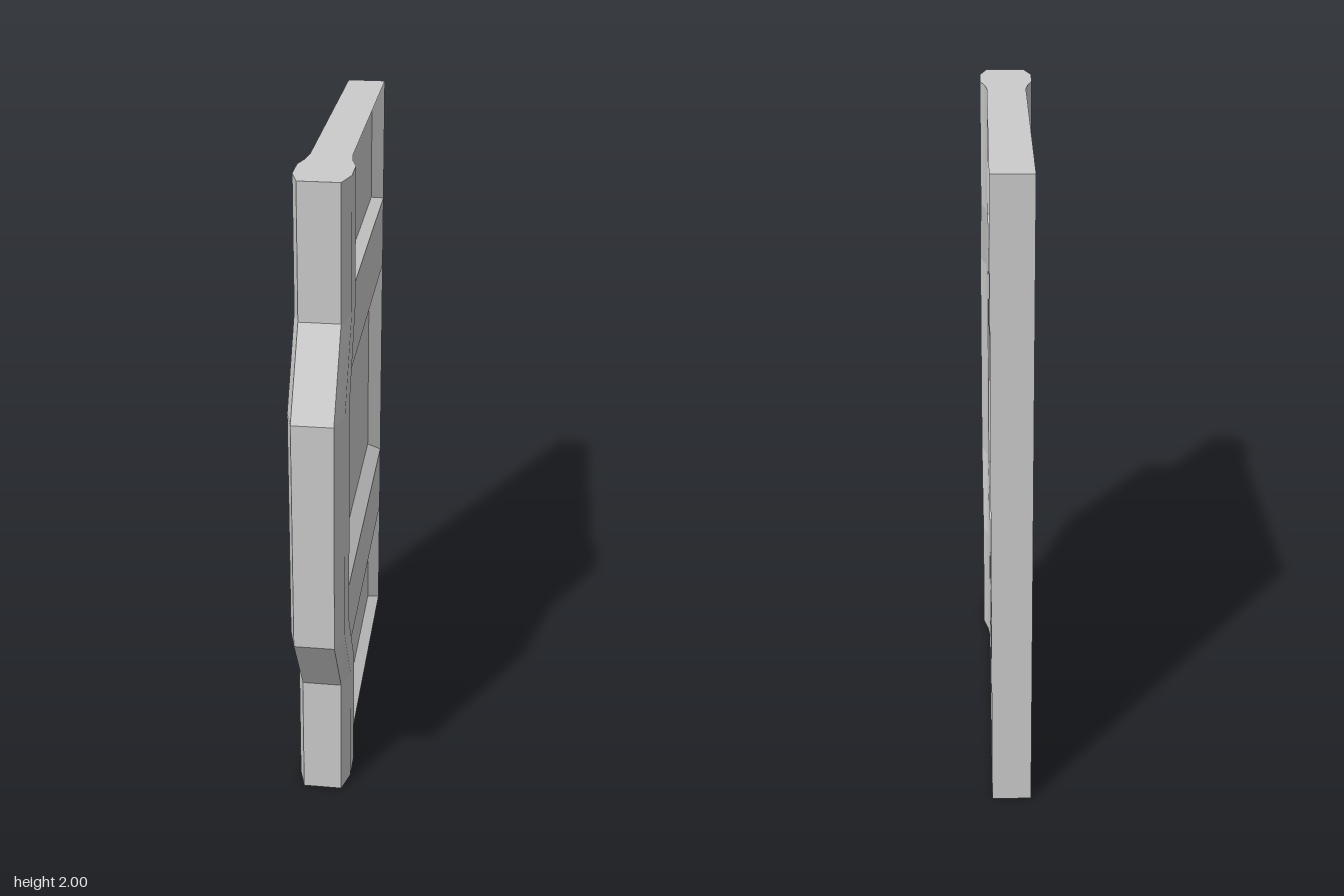
import * as THREE from 'three';

const BACK = -0.66, FLAT = 0.056;

// Edge rail profile as [z, x]: at the ends, and at the bulge in the middle
const END = [[0.24, FLAT], [0.29, 0.063], [0.34, 0.077], [0.43, 0.077], [0.50, FLAT]];
const MID = [[0.375, FLAT], [0.43, 0.06], [0.50, 0.08], [0.58, 0.077], [0.66, FLAT]];
const ROWS = [[0, END], [0.40, END], [0.64, MID], [1.36, MID], [1.60, END], [2, END]];

// Recessed panels: row index, bottom inset, top inset, depth
const PANELS = [[0, 0.025, 0.02, 0.037], [2, 0.04, 0.035, 0.042], [4, 0.015, 0.015, 0.037]];

const right = (x, y, z) => [x, y, z];
const left = (x, y, z) => [-x - 0.008, y, z];
const SIDES = [['right', right, false], ['left', left, true]];

// Flat-shaded mesh from quads whose corners run anticlockwise seen from outside
function quadMesh(name, quads) {
  const pos = [];
  for (const [a, b, c, d] of quads) pos.push(...a, ...b, ...c, ...a, ...c, ...d);
  const geo = new THREE.BufferGeometry();
  geo.setAttribute('position', new THREE.Float32BufferAttribute(pos, 3));
  geo.computeVertexNormals();
  const mesh = new THREE.Mesh(geo, new THREE.MeshStandardMaterial({ color: 0xcccccc, flatShading: true }));
  mesh.name = name;
  return mesh;
}

export function createModel() {
  const group = new THREE.Group();
  group.name = 'doorSlab';

  for (const [sideName, at, flip] of SIDES) {
    const quad = (...c) => (flip ? c.reverse() : c);

    // Bulging rail along the front edge
    const rail = [];
    for (let r = 0; r < ROWS.length - 1; r++) {
      const [y0, p0] = ROWS[r], [y1, p1] = ROWS[r + 1];
      for (let i = 0; i < p0.length - 1; i++) {
        rail.push(quad(
          at(p0[i + 1][1], y0, p0[i + 1][0]), at(p0[i][1], y0, p0[i][0]),
          at(p1[i][1], y1, p1[i][0]), at(p1[i + 1][1], y1, p1[i + 1][0])));
      }
    }
    group.add(quadMesh(sideName + 'EdgeRail', rail));

    // Flat cross bands between the panels
    const bands = [1, 3].map((r) => {
      const [y0, p0] = ROWS[r], [y1, p1] = ROWS[r + 1];
      return quad(at(FLAT, y0, p0[0][0]), at(FLAT, y0, BACK), at(FLAT, y1, BACK), at(FLAT, y1, p1[0][0]));
    });
    group.add(quadMesh(sideName + 'CrossBands', bands));

    // Recessed panels with bevelled borders
    for (const [r, low, high, depth] of PANELS) {
      const [y0, p] = ROWS[r], y1 = ROWS[r + 1][0], z = p[0][0], x = FLAT - depth;
      const outer = [at(FLAT, y0, z), at(FLAT, y0, BACK), at(FLAT, y1, BACK), at(FLAT, y1, z)];
      const inner = [
        at(x, y0 + low, z - 0.045), at(x, y0 + low, BACK + 0.045),
        at(x, y1 - high, BACK + 0.045), at(x, y1 - high, z - 0.045)];
      const quads = [quad(...inner)];
      for (let i = 0; i < 4; i++) {
        const j = (i + 1) % 4;
        quads.push(quad(outer[i], outer[j], inner[j], inner[i]));
      }
      group.add(quadMesh(sideName + ['LowerPanel', '', 'MiddlePanel', '', 'UpperPanel'][r], quads));
    }
  }

  // Front edge strip following the bulge
  const front = [];
  for (let r = 0; r < ROWS.length - 1; r++) {
    const [y0, p0] = ROWS[r], [y1, p1] = ROWS[r + 1];
    const z0 = p0[4][0], z1 = p1[4][0];
    front.push([left(FLAT, y0, z0), right(FLAT, y0, z0), right(FLAT, y1, z1), left(FLAT, y1, z1)]);
  }
  group.add(quadMesh('frontEdge', front));

  // Straight back edge
  group.add(quadMesh('backEdge', [[
    right(FLAT, 0, BACK), left(FLAT, 0, BACK), left(FLAT, 2, BACK), right(FLAT, 2, BACK)]]));

  // Top and bottom caps
  const outline = [[BACK, FLAT], ...END];
  for (const [name, y] of [['topEdge', 2], ['bottomEdge', 0]]) {
    const cap = [];
    for (let i = 0; i < outline.length - 1; i++) {
      const [z0, x0] = outline[i], [z1, x1] = outline[i + 1];
      const q = [left(x0, y, z0), left(x1, y, z1), right(x1, y, z1), right(x0, y, z0)];
      cap.push(y > 0 ? q : q.reverse());
    }
    group.add(quadMesh(name, cap));
  }
  return group;
}
